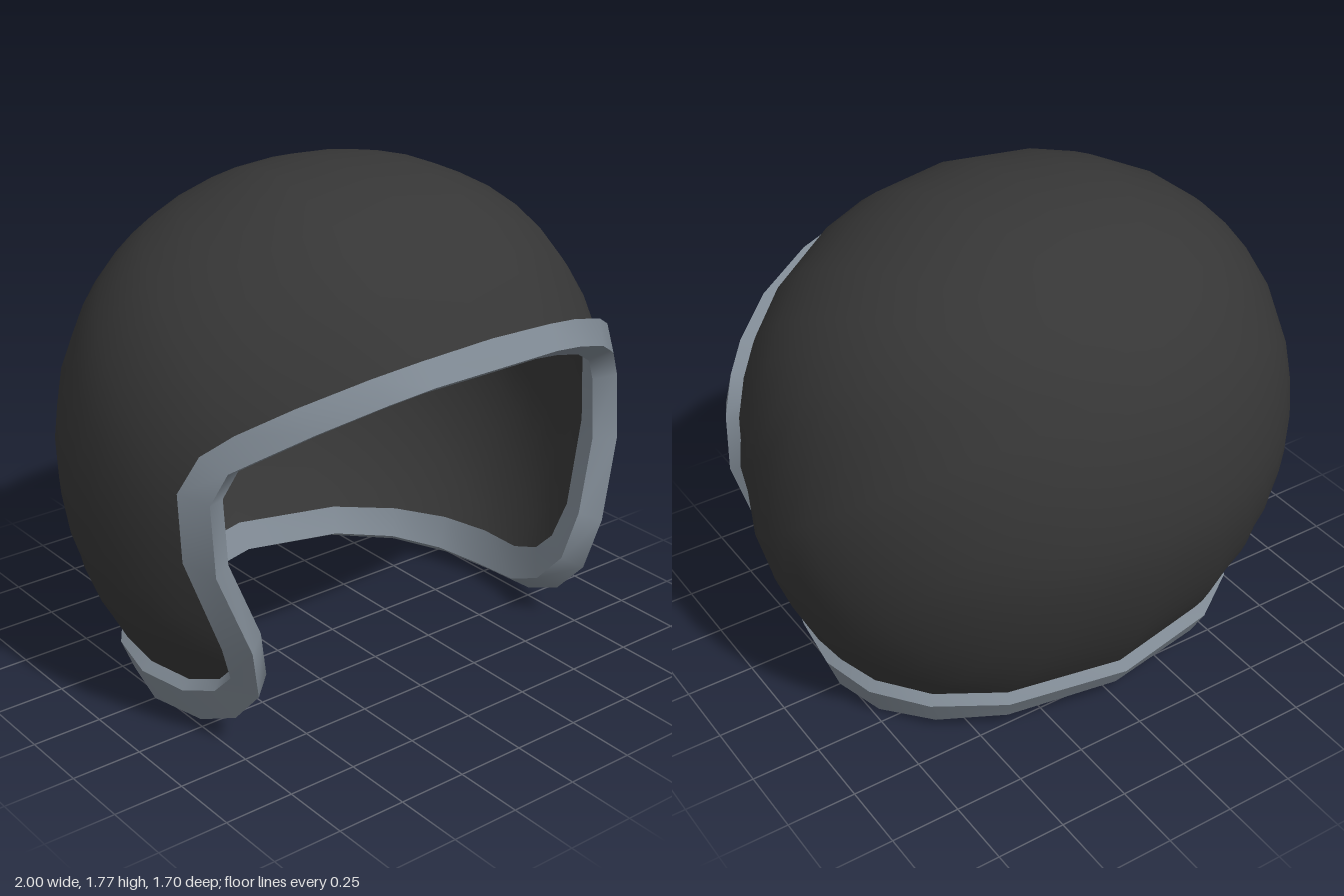
import * as THREE from 'three';
import { mergeVertices, mergeGeometries } from 'three/addons/utils/BufferGeometryUtils.js';

const MID = 0.82; // height of the widest point
const END = 9;    // clamps a station onto the centre plane

// Half of the opening's edge, front centre to back centre:
// [z, y] on the shell, then [z, y] of the trim's free edge
const STATIONS = [
  [END, 1.36, 0.85, 1.30], [0.74, 1.34, 0.835, 1.292], [0.70, 1.31, 0.795, 1.26],
  [0.61, 1.24, 0.70, 1.185], [0.51, 1.16, 0.60, 1.105], [0.44, 1.09, 0.545, 1.06],
  [0.395, 0.97, 0.52, 0.96], [0.41, 0.75, 0.54, 0.72], [0.455, 0.44, 0.585, 0.44],
  [0.43, 0.31, 0.55, 0.25], [0.345, 0.225, 0.42, 0.11], [0.20, 0.165, 0.25, 0.03],
  [0, 0.15, 0, 0], [-0.20, 0.15, -0.20, 0.01], [-0.38, 0.16, -0.38, 0.035],
  [-0.53, 0.175, -0.52, 0.06], [-END, 0.19, -0.605, 0.078],
];

// Rounded shell: a superellipse of revolution, then squeezed along z
const power = (y) => (y > 0 ? 2.2 : 2);
const height = (y) => (y > 0 ? 0.955 : 1.08);
const depth = (y, z) => (z > 0 ? 0.89 : 0.85 - 0.13 * Math.max(0, -y));
const radiusAt = (y) => Math.pow(1 - Math.pow(Math.abs(y) / height(y), power(y)), 1 / power(y));

function ontoSurface(dir) {
  const p = power(dir.y);
  const s = Math.pow(Math.hypot(dir.x, dir.z), p) + Math.pow(Math.abs(dir.y) / height(dir.y), p);
  return dir.clone().multiplyScalar(Math.pow(s, -1 / p));
}
const toModel = (u) => new THREE.Vector3(u.x, u.y + MID, u.z * depth(u.y, u.z));

function outward(u) {
  const h = height(u.y);
  return new THREE.Vector3(u.x, u.y / (h * h), u.z / depth(u.y, u.z)).normalize();
}
const offset = (p, n, d) => p.clone().addScaledVector(n, d);

// Skin a list of closed loops
function skin(rows, flip = false) {
  const n = rows[0].length;
  const index = [];
  for (let i = 0; i < rows.length - 1; i++) {
    for (let j = 0; j < n; j++) {
      const k = (j + 1) % n;
      const a = i * n + j, b = a + n, c = (i + 1) * n + k, d = i * n + k;
      if (flip) index.push(a, c, b, a, d, c);
      else index.push(a, b, c, a, c, d);
    }
  }
  let g = new THREE.BufferGeometry().setFromPoints(rows.flat());
  g.setIndex(index);
  g = mergeVertices(g, 1e-5);
  g.computeVertexNormals();
  return g;
}

export function createModel() {
  const shellPaint = new THREE.MeshStandardMaterial({ name: 'charcoal', color: 0x363636 });
  const trimPaint = new THREE.MeshStandardMaterial({ name: 'steel grey', color: 0x7e8892 });

  // Full edge loop: the half plus its mirror
  const half = STATIONS.map(([z, y, fz, fy]) => {
    const Y = y - MID, r = radiusAt(Y);
    const Z = THREE.MathUtils.clamp(z / depth(Y, z), -r, r);
    const X = Math.sqrt(Math.max(0, r * r - Z * Z));
    return { u: new THREE.Vector3(X, Y, Z), fz, fy };
  });
  const mirrored = half.slice(1, -1).reverse().map(({ u, fz, fy }) => (
    { u: new THREE.Vector3(-u.x, u.y, u.z), fz, fy }));
  const loop = [...half, ...mirrored];

  // Shell rows run from a pole at the upper back to the edge
  const pole = new THREE.Vector3(0, 0.55, -0.835).normalize();
  const ROWS = 14;
  const shellRows = (d) => Array.from({ length: ROWS + 1 }, (_, i) => loop.map(({ u }) => {
    const dir = u.clone().normalize();
    const angle = pole.angleTo(dir), t = i / ROWS;
    const mixed = pole.clone().multiplyScalar(Math.sin((1 - t) * angle))
      .addScaledVector(dir, Math.sin(t * angle)).normalize();
    const s = ontoSurface(mixed);
    return offset(toModel(s), outward(s), d);
  }));

  // Trim: square section with hard edges, smooth along its length
  const T = 0.045;
  const corners = [[], [], [], []];
  for (const { u, fz, fy } of loop) {
    const n = outward(u);
    const back = offset(toModel(u), n, T);
    const front = new THREE.Vector3(back.x * 0.945, fy, fz);
    corners[0].push(back);
    corners[1].push(front);
    corners[2].push(offset(front, n, -2 * T));
    corners[3].push(offset(back, n, -2 * T));
  }
  const trim = mergeGeometries(corners.map((row, i) => skin([row, corners[(i + 1) % 4]])));

  const group = new THREE.Group();
  group.name = 'openFaceHelmet';
  const add = (name, geometry, material) => {
    const mesh = new THREE.Mesh(geometry, material);
    mesh.name = name;
    group.add(mesh);
  };
  add('outerShell', skin(shellRows(0)), shellPaint);
  add('innerLining', skin(shellRows(-0.043), true), shellPaint);
  add('edgeTrim', trim, trimPaint);
  return group;
}
